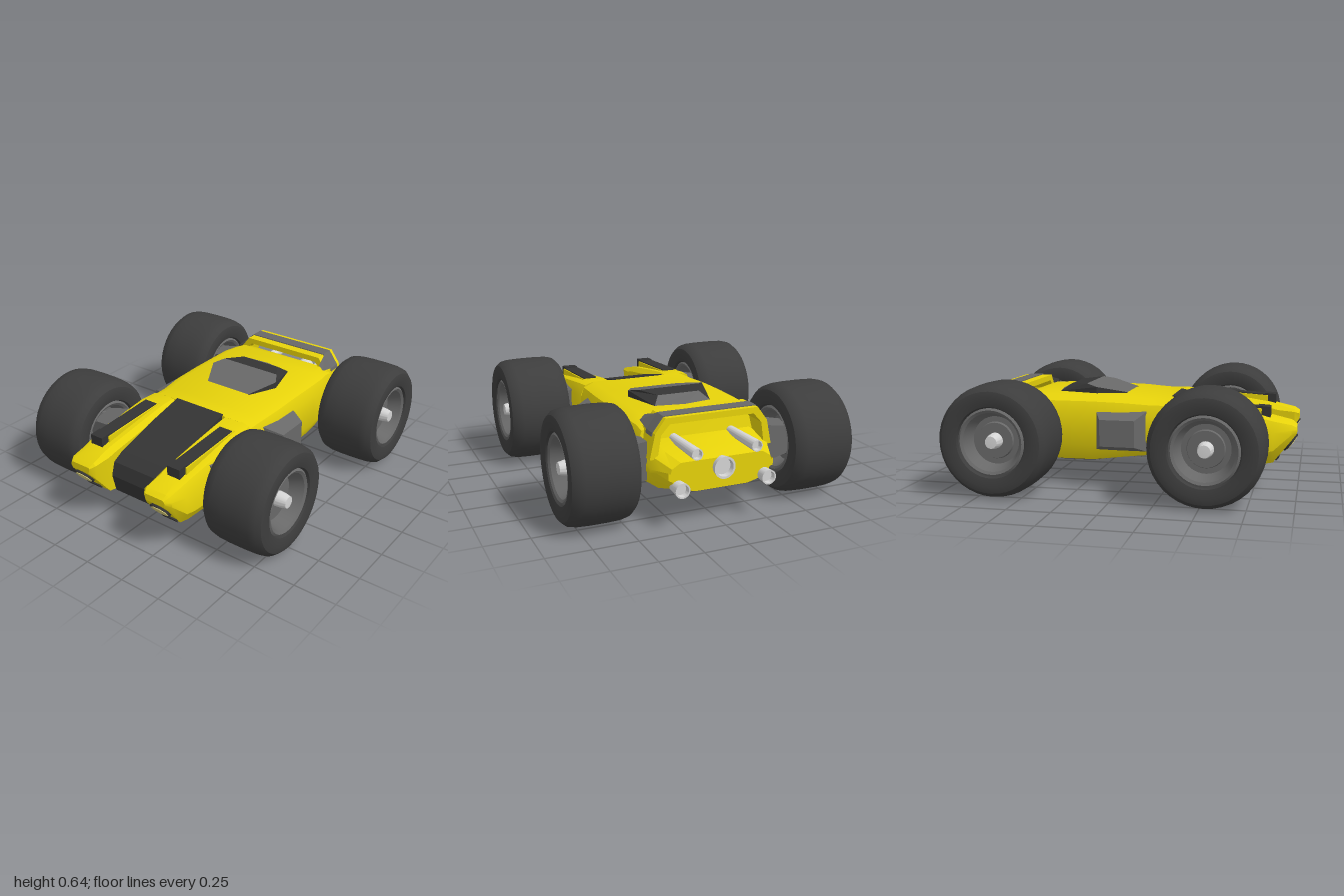
import * as THREE from 'three';
import { toCreasedNormals } from 'three/addons/utils/BufferGeometryUtils.js';

const material = (name, color, side = THREE.FrontSide) => {
  const m = new THREE.MeshStandardMaterial({ color, side });
  m.name = name;
  return m;
};
const yellow = material('yellow paint', 0xe6d20a, THREE.DoubleSide);
const dark = material('dark panel', 0x343434, THREE.DoubleSide);
const rubber = material('tyre rubber', 0x3d3d3d, THREE.DoubleSide);
const grey = material('grey metal', 0x686868, THREE.DoubleSide);
const silver = material('silver', 0xd4d4d4, THREE.DoubleSide);
const lamp = material('lamp glass', 0xd6ca78);

// Skin a stack of equal closed rings, ordered from +z to -z, with end caps
function loft(rings) {
  const n = rings[0].length, index = [], last = (rings.length - 1) * n;
  for (let i = 0; i < rings.length - 1; i++) {
    for (let j = 0; j < n; j++) {
      const a = i * n + j, b = i * n + (j + 1) % n;
      index.push(a, a + n, b, b, a + n, b + n);
    }
  }
  for (let j = 1; j < n - 1; j++) {
    index.push(0, j, j + 1, last, last + j + 1, last + j);
  }
  const g = new THREE.BufferGeometry();
  g.setAttribute('position', new THREE.Float32BufferAttribute(rings.flat(2), 3));
  g.setIndex(index);
  return toCreasedNormals(g, 0.5);
}

// Side profile in (z, y), extruded across x
function sideExtrude(profile, width) {
  const shape = new THREE.Shape(profile.map(p => new THREE.Vector2(...p)));
  const g = new THREE.ExtrudeGeometry(shape, { depth: width, bevelEnabled: false });
  return g.rotateY(-Math.PI / 2).translate(width / 2, 0, 0);
}

// Band over the deck: outer and inner half outlines, mirrored
function arch(outer, inner, depth) {
  const flip = p => [-p[0], p[1]];
  const pts = [...outer, ...[...outer].reverse().map(flip),
    ...inner.map(flip), ...[...inner].reverse()];
  const shape = new THREE.Shape(pts.map(p => new THREE.Vector2(...p)));
  return new THREE.ExtrudeGeometry(shape, { depth, bevelEnabled: false });
}

// Box that narrows toward +x
function taperedBox(sx, sy, sz, ky, kz) {
  const g = new THREE.BoxGeometry(sx, sy, sz).toNonIndexed();
  const p = g.attributes.position;
  for (let i = 0; i < p.count; i++) {
    if (p.getX(i) > 0) p.setXYZ(i, p.getX(i), p.getY(i) * ky, p.getZ(i) * kz);
  }
  g.computeVertexNormals();
  return g;
}

// Flat polygons given by corner lists
function facets(polygons) {
  const pos = [];
  for (const c of polygons) {
    for (let i = 1; i < c.length - 1; i++) pos.push(...c[0], ...c[i], ...c[i + 1]);
  }
  const g = new THREE.BufferGeometry();
  g.setAttribute('position', new THREE.Float32BufferAttribute(pos, 3));
  g.computeVertexNormals();
  return g;
}

// Underside plate from rows of z, half width, y
const underplate = rows => facets(rows.slice(1).map(([z, w, y], i) => {
  const [z0, w0, y0] = rows[i];
  return [[-w0, y0, z0], [-w, y, z], [w, y, z], [w0, y0, z0]];
}));

function lathe(points) {
  const g = new THREE.LatheGeometry(points.map(p => new THREE.Vector2(...p)), 40);
  return toCreasedNormals(g, 0.6).rotateZ(-Math.PI / 2);
}

export function createModel() {
  const model = new THREE.Group();
  model.name = 'buggy';
  const add = (name, geometry, mat, x = 0, y = 0, z = 0, parent = model) => {
    const m = new THREE.Mesh(geometry, mat);
    m.name = name;
    m.position.set(x, y, z);
    parent.add(m);
    return m;
  };

  // Main shell: z, half width, top, bottom
  const shell = [
    [0.26, 0.385, 0.52, 0.165], [0.15, 0.385, 0.52, 0.165], [0, 0.4, 0.53, 0.15],
    [-0.2, 0.402, 0.535, 0.125], [-0.4, 0.402, 0.535, 0.125], [-0.52, 0.4, 0.535, 0.14],
    [-0.62, 0.385, 0.53, 0.155], [-0.68, 0.375, 0.51, 0.16], [-0.7, 0.37, 0.43, 0.16],
    [-0.82, 0.36, 0.4, 0.17], [-0.94, 0.31, 0.37, 0.2],
  ].map(([z, w, t, b]) => {
    const half = [[0.5 * w, b], [0.88 * w, b + 0.03], [w, b + 0.12],
      [w, t - 0.09], [0.94 * w, t - 0.03], [0.78 * w, t]];
    return [...half, ...half.map(p => [-p[0], p[1]]).reverse()].map(p => [...p, z]);
  });
  add('bodyShell', loft(shell), yellow);

  // Nose hood between the prongs
  add('hood', sideExtrude([[0.25, 0.526], [0.5, 0.47], [0.75, 0.4], [0.82, 0.36],
    [0.845, 0.28], [0.82, 0.17], [0.25, 0.16]], 0.345), dark);

  // Canopy
  const V = (x, y, z) => s => [s * x, y, z];
  const A = V(0.155, 0.535, -0.03), B = V(0.24, 0.5725, -0.2), C = V(0.2, 0.588, -0.27);
  const D = V(0.13, 0.578, -0.385), E = V(0.175, 0.534, -0.445), F = V(0, 0.534, -0.475);
  const A0 = V(0.157, 0.52, -0.028), B0 = V(0.243, 0.52, -0.2);
  add('canopyGlass', facets([[A(-1), A(1), B(1), C(1), C(-1), B(-1)],
    [D(-1), D(1), E(1), F(1), E(-1)]]), grey);
  add('canopyFrame', facets([[C(-1), C(1), D(1), D(-1)],
    [B(1), E(1), D(1), C(1)], [C(-1), D(-1), E(-1), B(-1)],
    [A0(1), B0(1), B(1), A(1)], [A(-1), B(-1), B0(-1), A0(-1)],
    [B0(1), E(1), B(1)], [B(-1), E(-1), B0(-1)]]), dark);

  // Rear hoop with its grey band
  add('rearHoop', arch([[0.365, 0.36], [0.335, 0.5], [0.275, 0.58]],
    [[0.32, 0.36], [0.3, 0.49], [0.25, 0.545]], 0.17), yellow, 0, 0, -0.82);
  add('hoopBand', arch([[0.344, 0.48], [0.339, 0.501], [0.277, 0.585]],
    [[0.335, 0.48], [0.33, 0.5], [0.27, 0.576]], 0.08), grey, 0, 0, -0.79);

  // Belly panels
  add('bellyPanel', underplate([[-0.12, 0.1, 0.128], [-0.2, 0.18, 0.118], [-0.4, 0.18, 0.118],
    [-0.52, 0.18, 0.133], [-0.6, 0.1, 0.145]]), dark);
  add('noseUnderpanel', underplate([[0.8, 0.17, 0.158], [0.62, 0.28, 0.158],
    [0.28, 0.28, 0.158], [0.15, 0.17, 0.158]]), dark);

  // Hollow exhaust pipes ending at z1
  const pipe = (name, r, z0, z1, x, y) => {
    const g = lathe([[0, 0.03], [r * 0.75, 0.03], [r * 0.8, 0], [r, 0], [r * 0.8, z0 - z1], [0, z0 - z1]]);
    add(name, g.rotateY(-Math.PI / 2), silver, x, y, z1);
  };
  pipe('centreExhaust', 0.062, -0.9, -0.975, 0, 0.32);

  // Wheel profiles: radius, offset along the axle
  const mirrorProfile = half => [...half.map(p => [p[0], -p[1]]), ...[...half].reverse()];
  const tyre = lathe(mirrorProfile([[0.19, 0.16], [0.2, 0.18], [0.25, 0.193], [0.285, 0.185],
    [0.308, 0.16], [0.317, 0.12], [0.32, 0.05]]));
  const rim = lathe(mirrorProfile([[0, 0.1], [0.1, 0.1], [0.105, 0.085], [0.135, 0.085],
    [0.165, 0.165], [0.18, 0.175], [0.192, 0.165]]));
  const hub = lathe([[0.045, 0.09], [0.042, 0.135], [0.034, 0.17], [0, 0.172]]);

  for (const s of [1, -1]) {
    const side = s > 0 ? 'left' : 'right';

    // Front prong: z, inner x, outer x, top, bottom
    const prong = [
      [0.99, 0.2, 0.34, 0.39, 0.35], [0.96, 0.18, 0.365, 0.41, 0.31], [0.86, 0.172, 0.385, 0.435, 0.18],
      [0.8, 0.17, 0.39, 0.45, 0.17], [0.5, 0.17, 0.4, 0.495, 0.165], [0.35, 0.17, 0.398, 0.515, 0.165],
      [0.25, 0.165, 0.385, 0.52, 0.165],
    ].map(([z, i, o, t, b]) => {
      const c = Math.min(0.05, (t - b) * 0.25);
      const ring = [[i + 0.01, b], [o - c, b], [o, b + c * 1.5], [o, t - c * 1.5],
        [o - c * 0.6, t - c * 0.3], [o - c * 1.5, t], [i + c * 0.6, t], [i, t - c * 0.6]];
      return (s > 0 ? ring : ring.map(p => [-p[0], p[1]]).reverse()).map(p => [...p, z]);
    });
    add(side + 'Prong', loft(prong), yellow);

    // Intake: yellow cowl, dark top strip and dark mouth
    add(side + 'IntakeCowl', sideExtrude([[0.35, 0.516], [0.79, 0.488],
      [0.79, 0.42], [0.35, 0.45]], 0.1), yellow, s * 0.28);
    add(side + 'IntakeStrip', sideExtrude([[0.37, 0.521], [0.8, 0.494],
      [0.8, 0.484], [0.37, 0.511]], 0.084), dark, s * 0.28);
    add(side + 'IntakeMouth', sideExtrude([[0.77, 0.502], [0.84, 0.497],
      [0.84, 0.42], [0.77, 0.43]], 0.084), dark, s * 0.28);

    // Headlight on the undercut nose face
    const light = new THREE.Group();
    light.name = side + 'Headlight';
    light.position.set(s * 0.28, 0.295, 0.954);
    light.rotation.x = 0.65;
    model.add(light);
    const lens = (w, h, d) => new THREE.CylinderGeometry(1, 1, d, 8)
      .rotateY(Math.PI / 8).rotateX(Math.PI / 2).scale(w, h, 1);
    add('headlightRim', lens(0.064, 0.062, 0.016), dark, 0, 0, 0, light);
    add('headlightLens', lens(0.054, 0.049, 0.008), lamp, 0, 0, 0.008, light);
    add('lowerVent', new THREE.BoxGeometry(0.1, 0.028, 0.012), dark, 0, -0.115, -0.002, light);

    // Side pod, belly side plate and hoop corner
    const mirrorY = s > 0 ? 0 : Math.PI;
    const pod = add(side + 'Pod', taperedBox(0.11, 0.235, 0.305, 0.66, 0.67), grey, s * 0.433, 0.338, -0.017);
    pod.rotation.y = mirrorY;
    const bellyRows = [[0.08, 0.163], [-0.2, 0.13], [-0.42, 0.131]];
    add(side + 'BellyPlate', facets(bellyRows.slice(1).map(([z, y], i) => {
      const [z0, y0] = bellyRows[i];
      return [[s * 0.215, y0 - 0.006, z0], [s * 0.33, y0 + 0.016, z0],
        [s * 0.33, y + 0.016, z], [s * 0.215, y - 0.006, z]];
    })), dark);
    add(side + 'HoopCorner', facets([[[s * 0.281, 0.581, -0.715], [s * 0.341, 0.501, -0.715],
      [s * 0.336, 0.52, -0.61], [s * 0.305, 0.55, -0.61]]]), grey);

    pipe(side + 'UpperExhaust', 0.032, -0.7, -1, s * 0.175, 0.425);
    pipe(side + 'LowerExhaust', 0.042, -0.88, -1, s * 0.255, 0.237);

    // Axle arms and wheels
    for (const [end, z, armZ, armSize] of [['Front', 0.53, 0.52, 0.25], ['Rear', -0.65, -0.665, 0.21]]) {
      const arm = add(side + end + 'AxleArm', taperedBox(0.24, 0.22, armSize, 0.6, 0.7), grey, s * 0.48, 0.34, armZ);
      arm.rotation.y = mirrorY;
      const wheel = new THREE.Group();
      wheel.name = side + end + 'Wheel';
      wheel.position.set(s * 0.643, 0.323, z);
      wheel.rotation.y = mirrorY;
      model.add(wheel);
      add('tyre', tyre, rubber, 0, 0, 0, wheel);
      add('rim', rim, grey, 0, 0, 0, wheel);
      add('hub', hub, silver, 0, 0, 0, wheel);
    }
  }
  return model;
}
